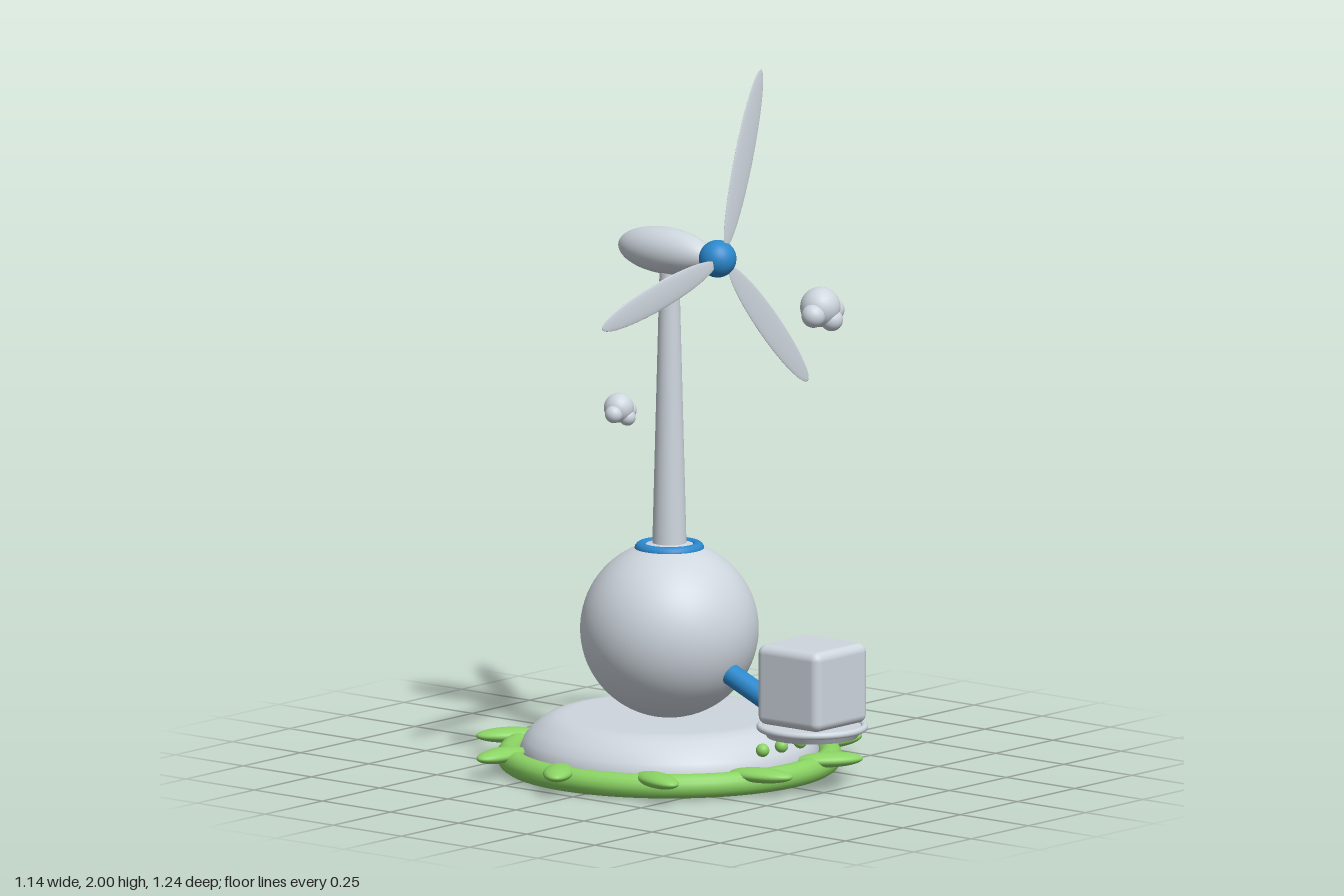
import * as THREE from 'three';
import { RoundedBoxGeometry } from 'three/addons/geometries/RoundedBoxGeometry.js';

const material = (name, color) => {
  const m = new THREE.MeshStandardMaterial({ color });
  m.name = name;
  return m;
};

export function createModel() {
  const grey = material('pale grey', 0xced6de);
  const blue = material('blue', 0x2b88cc);
  const green = material('leaf green', 0x8bd464);

  const model = new THREE.Group();
  model.name = 'windTurbineIsland';
  const AXIS_Z = -0.067; // centre of base, globe and tower
  const HUB_Y = 1.48;

  const add = (name, geometry, mat, x, y, z, parent = model) => {
    const mesh = new THREE.Mesh(geometry, mat);
    mesh.name = name;
    mesh.position.set(x, y, z);
    parent.add(mesh);
    return mesh;
  };
  const ball = (r) => new THREE.SphereGeometry(r, 32, 20);
  const ellipsoid = (rx, ry, rz) => new THREE.SphereGeometry(1, 40, 24).scale(rx, ry, rz);
  const flatRing = (r, tube) => new THREE.TorusGeometry(r, tube, 16, 72).rotateX(Math.PI / 2);

  // Low mound with a flat underside, and the green ring around it
  const mound = [[0, 0.01], [0.42, 0.01], [0.42, 0.06], [0.408, 0.09], [0.385, 0.117],
    [0.35, 0.143], [0.32, 0.153], [0.29, 0.156], [0, 0.156]].map(([r, y]) => new THREE.Vector2(r, y));
  add('moundBase', new THREE.LatheGeometry(mound, 72), grey, 0, 0, AXIS_Z);
  add('grassRing', flatRing(0.451, 0.035), green, 0, 0.036, AXIS_Z);

  // Leaves swept round the ring
  const leafGeometry = ellipsoid(0.096, 0.021, 0.042);
  for (let i = 0; i < 10; i++) {
    const a = (i / 10) * Math.PI * 2;
    const leaf = add('leaf', leafGeometry, green,
      Math.cos(a) * 0.485, 0.06, AXIS_Z + Math.sin(a) * 0.485);
    leaf.rotation.y = 0.6 - a;
  }

  // Three small buds at the front
  for (const x of [-0.082, 0, 0.082]) add('bud', ball(0.019), green, x, 0.115, 0.344);

  // Globe, collar and tapered tower
  add('globe', new THREE.SphereGeometry(0.251, 64, 40), grey, 0, 0.4, AXIS_Z);
  add('collar', flatRing(0.08, 0.018), blue, 0, 0.63, AXIS_Z);
  add('tower', new THREE.CylinderGeometry(0.027, 0.049, 0.85, 40), grey, 0, 1.035, AXIS_Z);

  // Nacelle and rotor
  add('nacelle', ellipsoid(0.066, 0.066, 0.165), grey, 0, HUB_Y, -0.081);
  add('hub', ball(0.053), blue, 0, HUB_Y, 0.11);
  const rotor = new THREE.Group();
  rotor.name = 'rotor';
  rotor.position.set(0, HUB_Y, 0.132);
  model.add(rotor);
  const bladeGeometry = ellipsoid(0.255, 0.041, 0.005);
  for (let i = 0; i < 3; i++) {
    const a = THREE.MathUtils.degToRad(72.6 + i * 120);
    const blade = add('blade', bladeGeometry, grey, Math.cos(a) * 0.29, Math.sin(a) * 0.29, 0, rotor);
    blade.rotation.z = a;
  }

  // Sloping arm from the globe to the tray
  const start = new THREE.Vector3(0, 0.33, 0.08);
  const end = new THREE.Vector3(0, 0.205, 0.375);
  const arm = add('arm', new THREE.CylinderGeometry(0.031, 0.031, start.distanceTo(end), 32), blue,
    0, (start.y + end.y) / 2, (start.z + end.z) / 2);
  arm.quaternion.setFromUnitVectors(new THREE.Vector3(0, 1, 0), end.clone().sub(start).normalize());

  // Round tray carrying a rounded cube
  add('tray', new THREE.CylinderGeometry(0.147, 0.128, 0.03, 64), grey, 0, 0.173, 0.457);
  add('trayRim', flatRing(0.147, 0.01), grey, 0, 0.185, 0.457);
  add('cube', new RoundedBoxGeometry(0.228, 0.228, 0.228, 5, 0.025), grey, 0, 0.308, 0.457);

  // Two little clouds of overlapping balls
  const puffs = [[0, 0.005, 0, 0.057], [-0.044, -0.012, 0.012, 0.034],
    [0.048, -0.01, 0.004, 0.034], [0.014, -0.03, 0.03, 0.032]];
  for (const [x, y, z, s] of [[0.466, 1.265, 0.095, 1], [-0.386, 1.103, 0.072, 0.74]]) {
    const cloud = new THREE.Group();
    cloud.name = 'cloud';
    cloud.position.set(x, y, z);
    cloud.scale.setScalar(s);
    model.add(cloud);
    for (const [px, py, pz, r] of puffs) add('puff', ball(r), grey, px, py, pz, cloud);
  }

  return model;
}
